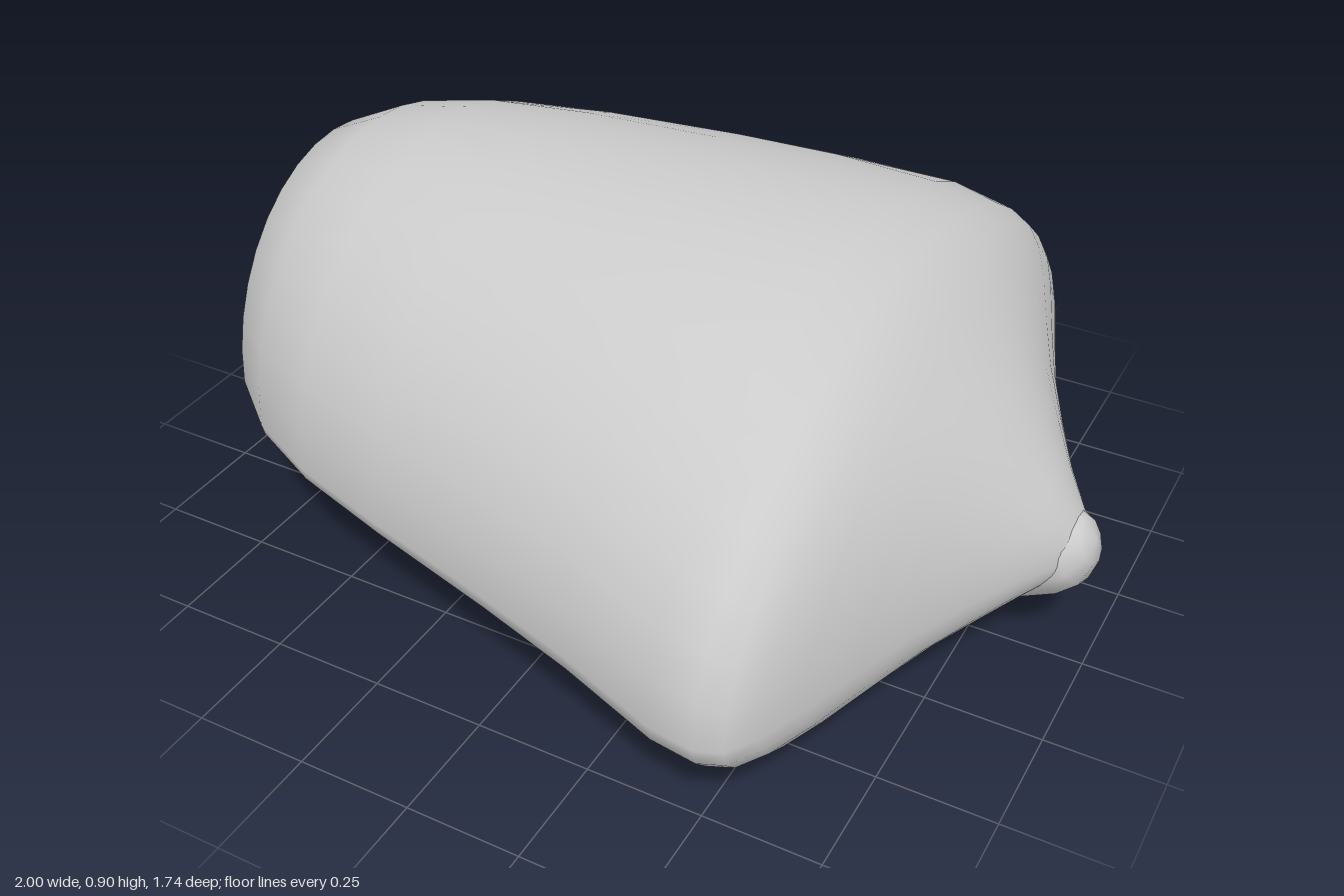
import * as THREE from 'three';

const material = new THREE.MeshStandardMaterial({ color: 0xcccccc });

// Skins closed rings that advance along +x, with a pole point closing each end.
function loft(name, rings, startPole, endPole) {
  const n = rings[0].length;
  const points = [...rings.flat(), startPole, endPole];
  const start = points.length - 2, end = points.length - 1;
  const last = (rings.length - 1) * n;
  const index = [];
  for (let j = 0; j < n; j++) {
    const k = (j + 1) % n;
    for (let i = 0; i < last; i += n) {
      index.push(i + j, i + k, i + n + j, i + k, i + n + k, i + n + j);
    }
    index.push(start, k, j, end, last + j, last + k);
  }
  const geometry = new THREE.BufferGeometry().setFromPoints(points);
  geometry.setIndex(index);
  geometry.computeVertexNormals();
  const mesh = new THREE.Mesh(geometry, material);
  mesh.name = name;
  return mesh;
}

// Domed shell: an upper and a lower half ellipse meet at the widest line.
function createShell() {
  // x, half width, top, widest height, bottom
  const stations = [
    [-0.95, 0.1, 0.47, 0.38, 0.32],
    [-0.935, 0.2, 0.58, 0.37, 0.29],
    [-0.9, 0.29, 0.7, 0.36, 0.26],
    [-0.83, 0.395, 0.8, 0.355, 0.22],
    [-0.7, 0.5, 0.86, 0.345, 0.19],
    [-0.53, 0.58, 0.89, 0.34, 0.165],
    [-0.3, 0.645, 0.905, 0.33, 0.14],
    [0, 0.72, 0.908, 0.32, 0.1],
    [0.22, 0.78, 0.9, 0.31, 0.07],
    [0.44, 0.855, 0.868, 0.3, 0.05],
    [0.54, 0.87, 0.825, 0.3, 0.055],
    [0.59, 0.85, 0.79, 0.3, 0.065],
    [0.63, 0.79, 0.755, 0.3, 0.078],
    [0.67, 0.69, 0.715, 0.3, 0.092],
    [0.72, 0.54, 0.66, 0.3, 0.112],
    [0.77, 0.4, 0.605, 0.3, 0.138],
    [0.83, 0.27, 0.53, 0.3, 0.168],
    [0.89, 0.155, 0.45, 0.3, 0.205],
    [0.945, 0.075, 0.375, 0.3, 0.25],
  ];
  const sides = 36;
  const rings = stations.map(([x, w, top, mid, bottom]) =>
    Array.from({ length: sides }, (_, j) => {
      const a = (j / sides) * Math.PI * 2;
      const c = Math.cos(a);
      const h = c > 0 ? top - mid : mid - bottom;
      return new THREE.Vector3(x, mid + h * c, w * Math.sin(a));
    }));
  return loft('shell', rings,
    new THREE.Vector3(-0.955, 0.39, 0), new THREE.Vector3(0.96, 0.31, 0));
}

// Round keel bar bent along the underside, with domed ends.
function createKeel() {
  const r = 0.1, sides = 10;
  const path = [[-0.9, 0.35], [-0.74, 0.265], [0.36, 0.105], [0.63, 0.145], [0.9, 0.285]]
    .map(([x, y]) => new THREE.Vector3(x, y, 0));
  const direction = i => path[i + 1].clone().sub(path[i]).normalize();
  const ring = (p, t, radius) => Array.from({ length: sides }, (_, j) => {
    const a = (j / sides) * Math.PI * 2;
    const c = radius * Math.cos(a);
    return new THREE.Vector3(p.x - t.y * c, p.y + t.x * c, radius * Math.sin(a));
  });
  const tangents = path.map((_, i) => {
    const before = direction(Math.max(i - 1, 0));
    const after = direction(Math.min(i, path.length - 2));
    return before.add(after).normalize();
  });
  const along = (i, d) => path[i].clone().addScaledVector(tangents[i], d);
  const e = path.length - 1;
  const dome = [Math.PI / 3, Math.PI / 6];
  const rings = [
    ...dome.map(a => ring(along(0, -r * Math.sin(a)), tangents[0], r * Math.cos(a))),
    ...path.map((p, i) => ring(p, tangents[i], r)),
    ...dome.reverse().map(a => ring(along(e, r * Math.sin(a)), tangents[e], r * Math.cos(a))),
  ];
  return loft('keelBar', rings, along(0, -r), along(e, r));
}

export function createModel() {
  const model = new THREE.Group();
  model.name = 'domedShellWithKeel';
  model.add(createShell(), createKeel());
  return model;
}
